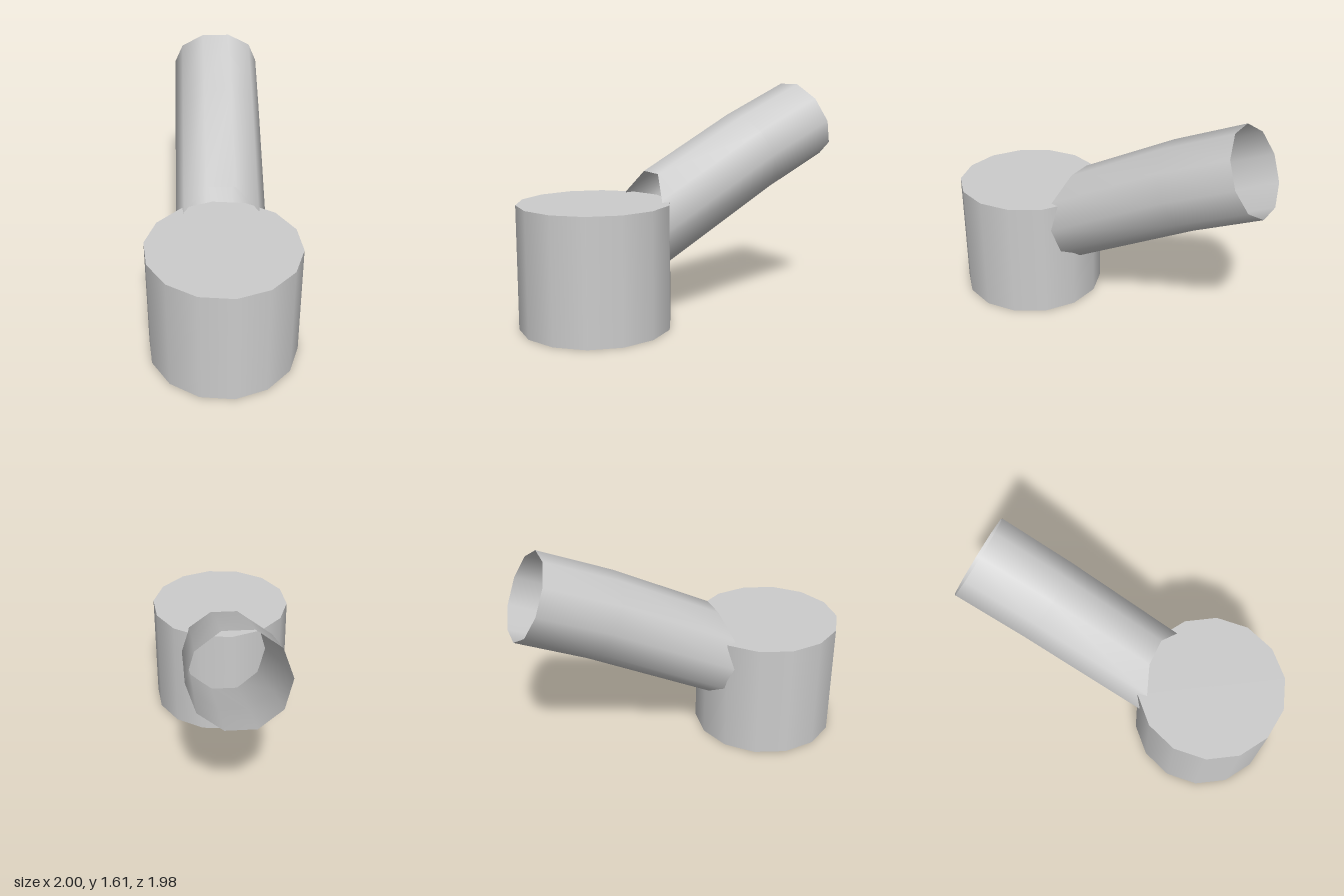
import * as THREE from 'three';
import { mergeVertices } from 'three/addons/utils/BufferGeometryUtils.js';

export function createModel() {
  const group = new THREE.Group();
  const grey = new THREE.MeshStandardMaterial({ color: 0xcccccc, side: THREE.DoubleSide });
  grey.name = 'light grey';

  // Upright drum
  const drum = new THREE.Mesh(
    new THREE.CylinderGeometry(0.52, 0.52, 0.85, 14, 1, false, Math.PI / 2), grey);
  drum.name = 'drum';
  drum.position.set(-0.48, 0.425, 0.48);
  group.add(drum);

  // Open bent spout: each ring has a centre and an upward radius in its own plane
  const rings = [
    { centre: [-0.397, 0.602], up: [0.165, 0.44] }, // slanted inner end
    { centre: [0.594, 1.125], up: [-0.134, 0.279] },
    { centre: [1.085, 1.345], up: [-0.123, 0.279] },
  ];
  let tube = new THREE.CylinderGeometry(1, 1, 2, 10, 2, true);
  tube.deleteAttribute('uv');
  tube.deleteAttribute('normal');
  tube = mergeVertices(tube);
  const p = tube.attributes.position;
  for (let i = 0; i < p.count; i++) {
    const { centre, up } = rings[Math.round(p.getY(i)) + 1];
    const h = -p.getX(i);
    p.setXYZ(i, centre[0] + up[0] * h, centre[1] + up[1] * h, p.getZ(i) * 0.314);
  }
  tube.computeVertexNormals();
  const spout = new THREE.Mesh(tube, grey);
  spout.name = 'spout';
  spout.rotation.y = Math.PI / 4;
  group.add(spout);

  return group;
}
